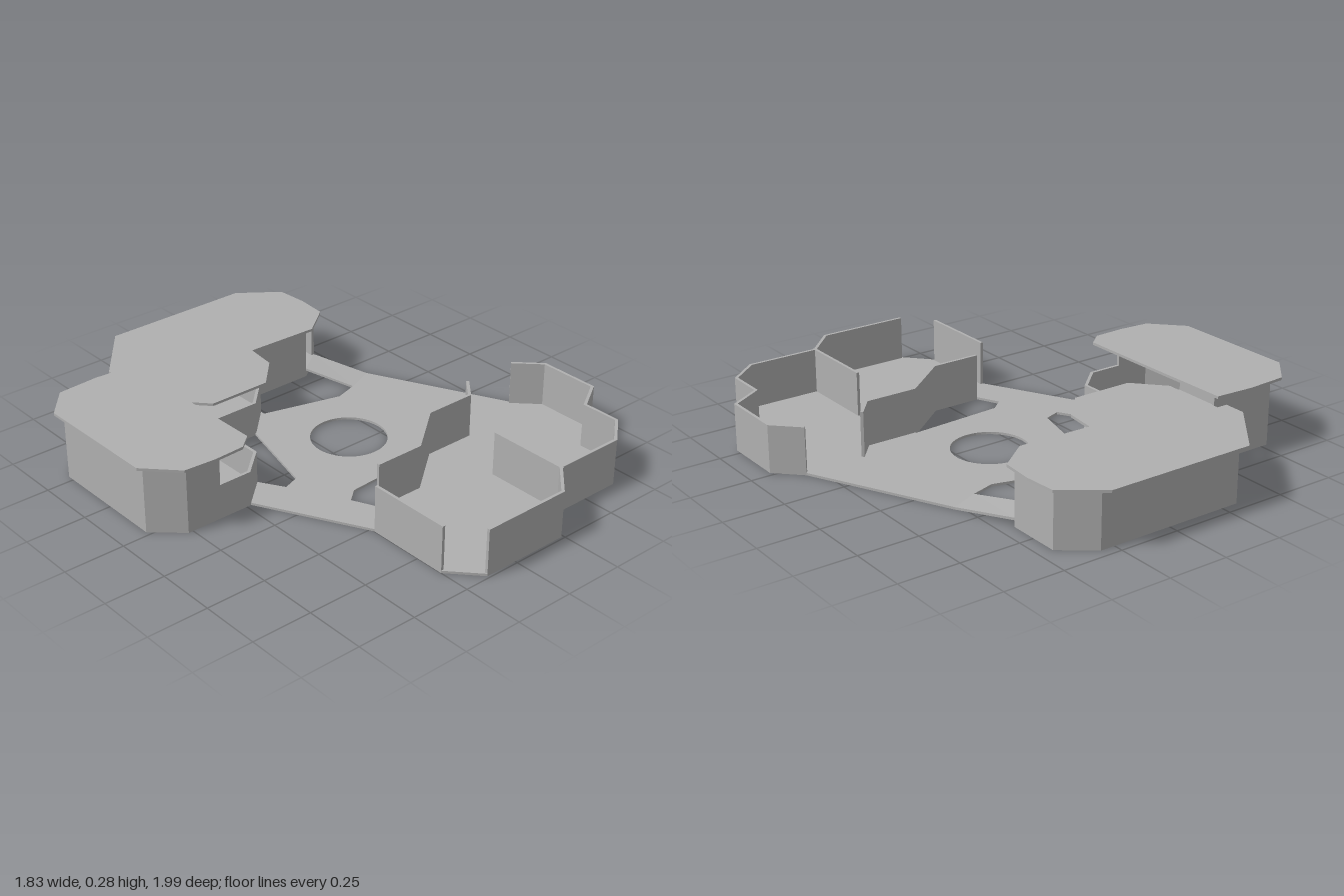
import * as THREE from 'three';

const T = 0.012; // wall thickness

// Plan outlines are lists of [x, z]; shapes are drawn in (x, -z) and stood up.
const toPoints = pts => pts.map(([x, z]) => new THREE.Vector2(x, -z));

function slab(pts, y0, y1, holes = []) {
  const shape = new THREE.Shape(toPoints(pts));
  for (const h of holes) shape.holes.push(new THREE.Path(toPoints(h)));
  const g = new THREE.ExtrudeGeometry(shape, { depth: y1 - y0, bevelEnabled: false });
  return g.rotateX(-Math.PI / 2).translate(0, y0, 0);
}

// Mitred wall along a path, thickened to the inner side
function wall(path, y0, y1, t = T) {
  const normal = (a, b) => {
    const dx = b[0] - a[0], dz = b[1] - a[1], l = Math.hypot(dx, dz);
    return [dz / l, -dx / l];
  };
  const inner = path.map((p, i) => {
    const a = i > 0 ? normal(path[i - 1], p) : normal(p, path[i + 1]);
    const b = i < path.length - 1 ? normal(p, path[i + 1]) : a;
    const k = t / (1 + a[0] * b[0] + a[1] * b[1]);
    return [p[0] + (a[0] + b[0]) * k, p[1] + (a[1] + b[1]) * k];
  });
  return slab([...path, ...inner.reverse()], y0, y1);
}

export function createModel() {
  const model = new THREE.Group();
  const grey = new THREE.MeshStandardMaterial({ color: 0xb0b0b0 });
  grey.name = 'plainGrey';
  const add = (name, geometry) => {
    const m = new THREE.Mesh(geometry, grey);
    m.name = name;
    model.add(m);
  };

  // Plan lines shared by floors and walls
  const frontWing = [[-0.14, 0.99], [0.24, 0.99], [0.36, 0.87], [0.66, 0.87], [0.78, 0.77],
    [0.78, 0.61], [0.91, 0.53], [0.91, 0.27], [0.81, 0.17]];
  const backWing = [[0.44, -0.64], [0.44, -0.86], [0.31, -0.96], [-0.32, -0.96], [-0.49, -0.78], [-0.49, -0.64]];
  const sideWing = [[-0.49, -0.64], [-0.78, -0.64], [-0.885, -0.53], [-0.885, -0.02], [-0.77, 0.085], [-0.62, 0.085]];
  const parapet = [[-0.62, 0.085], [-0.48, 0.085], [-0.37, -0.015], [-0.37, -0.31],
    [-0.14, -0.31], [-0.02, -0.43], [-0.02, -0.56]];

  // Ground floor with a round court and two angular openings
  const circle = [];
  for (let i = 0; i < 48; i++) {
    const a = i / 48 * Math.PI * 2;
    circle.push([0.12 + 0.155 * Math.cos(a), -0.045 + 0.155 * Math.sin(a)]);
  }
  const westOpening = [[-0.37, -0.31], [-0.145, -0.31], [-0.24, 0.06], [-0.31, 0.085], [-0.37, -0.015]];
  const southOpening = [[-0.14, 0.41], [0.07, 0.41], [0.27, 0.26], [0.27, 0.245], [-0.13, 0.27], [-0.185, 0.315]];
  const outline = [[-0.25, 0.52], [-0.25, 0.87], ...frontWing, [0.53, -0.40], [0.41, -0.35], [0.31, -0.32],
    [-0.02, -0.41], [-0.02, -0.56], [0.33, -0.56], ...backWing, ...sideWing.slice(1), [-0.48, 0.085]];
  add('groundFloor', slab(outline, 0, 0.01, [circle, westOpening, southOpening]));

  // Raised floor of the back wing
  add('backFloor', slab([[-0.37, -0.32], [-0.14, -0.32], [-0.03, -0.43], [-0.03, -0.56], [0.33, -0.56],
    ...backWing.slice(0, 5), [-0.48, -0.42]], 0.005, 0.035));

  // Ramp up to the back wing door
  const ramp = slab([[0.41, -0.35], [0.53, -0.40], [0.44, -0.64], [0.33, -0.56]], 0, 0.01);
  const p = ramp.attributes.position;
  for (let i = 0; i < p.count; i++) if (p.getZ(i) < -0.45) p.setY(i, p.getY(i) + 0.026);
  ramp.computeVertexNormals();
  add('ramp', ramp);

  // Open front wing: outer walls, partition and inner screen
  add('frontWingWall', wall(frontWing, 0, 0.195));
  add('frontWingSideWall', wall([[-0.25, 0.52], [-0.25, 0.87]], 0, 0.195));
  add('partition', wall([[0.35, 0.53], [0.35, 0.875]], 0, 0.195));
  add('innerScreen', wall([[-0.14, 0.42], [0.07, 0.42], [0.27, 0.262], [0.49, 0.262], [0.565, 0.175]], 0, 0.195));

  // Closed walls and low parapet of the two roofed wings
  add('backWingWall', wall(backWing, 0, 0.23));
  add('backWingFrontWall', wall([[-0.02, -0.56], [0.33, -0.56]], 0, 0.23));
  add('sideWingWall', wall(sideWing, 0, 0.275));
  add('parapet', wall(parapet, 0, 0.145));

  // Flat overhanging roofs
  add('backRoof', slab([[-0.33, -1], [0.30, -1], [0.46, -0.88], [0.47, -0.75], [0.46, -0.62], [0.33, -0.52],
    [0.02, -0.53], [0.005, -0.40], [-0.11, -0.28], [-0.37, -0.28], [-0.48, -0.40], [-0.48, -0.67],
    [-0.525, -0.67], [-0.525, -0.76]], 0.229, 0.24));
  add('sideRoof', slab([[-0.81, -0.67], [-0.64, -0.68], [-0.48, -0.67], [-0.475, -0.4], [-0.47, 0.06],
    [-0.53, 0.11], [-0.66, 0.115], [-0.79, 0.105], [-0.91, -0.02], [-0.915, -0.55]], 0.273, 0.284));

  return model;
}
